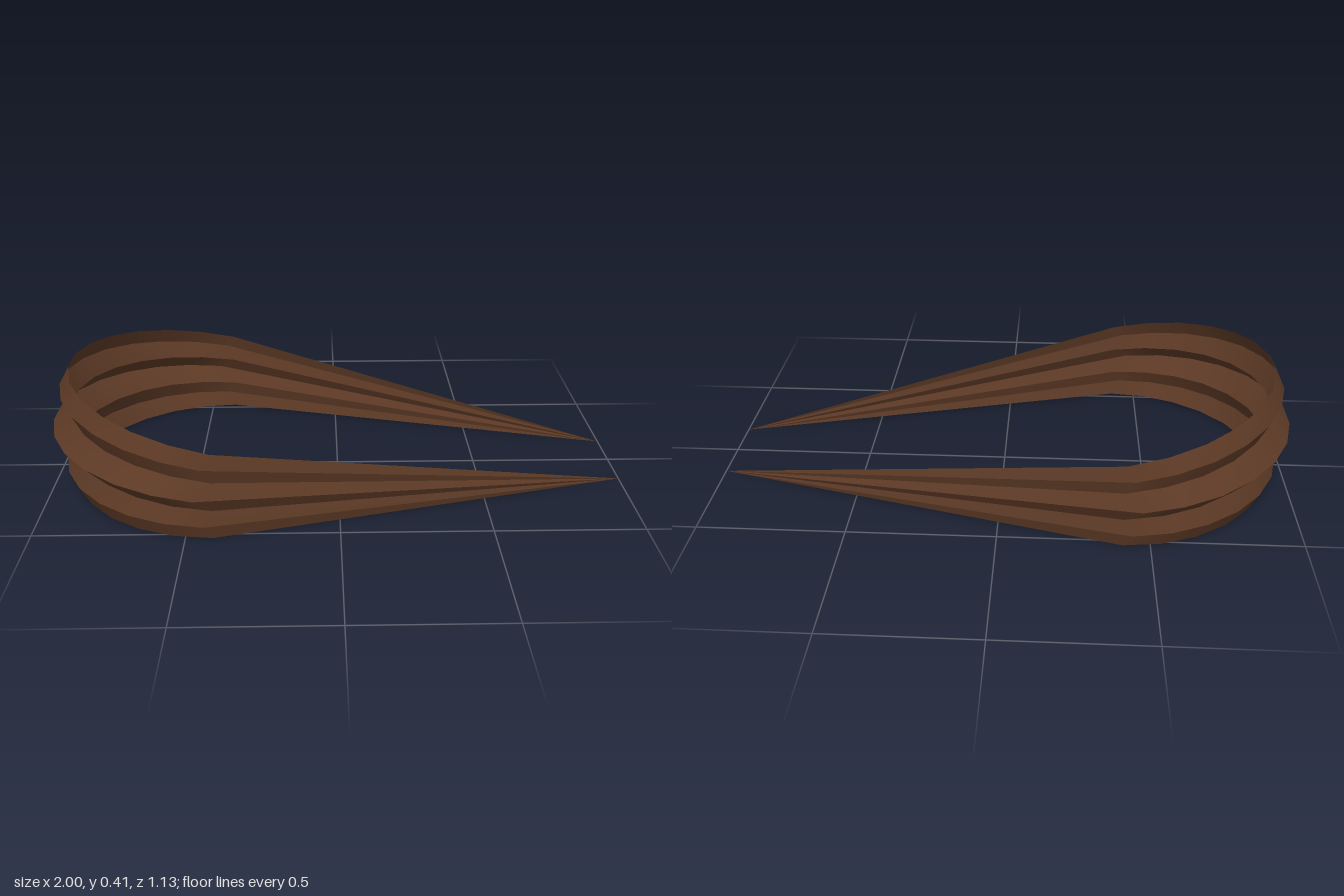
import * as THREE from 'three';

const STATIONS = 14;                              // ribs around the half-round end
const FOLDS = [0, 0.035, 0, 0.07, 0, 0.035, 0];   // outward push of each crease, bottom to top
const ARC_X = -0.41, RADIUS = 0.525;              // centre and radius of the inner curve
const TIP = { x: 1, z: 0.15 };                    // where each arm ends in a point
const FAN_X = 0.28;                               // creases push away from this point on the axis

// Plan of the sheet: tip, half-round end, tip
function planPath() {
  const path = [[TIP.x, TIP.z, true]];
  for (let i = 0; i < STATIONS; i++) {
    const a = (Math.PI * i) / (STATIONS - 1);
    path.push([ARC_X - RADIUS * Math.sin(a), RADIUS * Math.cos(a), false]);
  }
  path.push([TIP.x, -TIP.z, true]);
  return path;
}

// Point on crease k at a plan position; height tapers towards the tips
function creasePoint([x, z, isTip], k) {
  if (isTip) return [x, 0, z];
  const len = Math.hypot(x - FAN_X, z);
  const px = x + (FOLDS[k] * (x - FAN_X)) / len;
  const pz = z + (FOLDS[k] * z) / len;
  const height = 0.2125 * (TIP.x - px);
  return [px, (height * k) / (FOLDS.length - 1), pz];
}

// One strip between two neighbouring creases, smooth along its length
function pleatGeometry(path, k) {
  const positions = [], index = [];
  path.forEach((p) => positions.push(...creasePoint(p, k), ...creasePoint(p, k + 1)));
  for (let i = 0; i < path.length - 1; i++) {
    const a = 2 * i, b = a + 1, c = a + 2, d = a + 3;
    if (!path[i][2]) index.push(a, b, c);
    if (!path[i + 1][2]) index.push(b, d, c);
    else continue;
  }
  const geo = new THREE.BufferGeometry();
  geo.setAttribute('position', new THREE.Float32BufferAttribute(positions, 3));
  geo.setIndex(index);
  geo.computeVertexNormals();
  // The pointed ends take the normal of the rib beside them
  const n = geo.attributes.normal, last = n.count - 1;
  for (const [to, from] of [[0, 2], [1, 3], [last, last - 2], [last - 1, last - 3]]) {
    n.setXYZ(to, n.getX(from), n.getY(from), n.getZ(from));
  }
  return geo;
}

export function createModel() {
  const group = new THREE.Group();
  group.name = 'bellows';
  const leather = new THREE.MeshStandardMaterial({ color: 0x5c3925, side: THREE.DoubleSide });
  leather.name = 'brown leather';

  // Folded leather wall, one mesh per pleat
  const path = planPath();
  for (let k = 0; k < FOLDS.length - 1; k++) {
    const pleat = new THREE.Mesh(pleatGeometry(path, k), leather);
    pleat.name = `pleat${k + 1}`;
    group.add(pleat);
  }
  return group;
}
